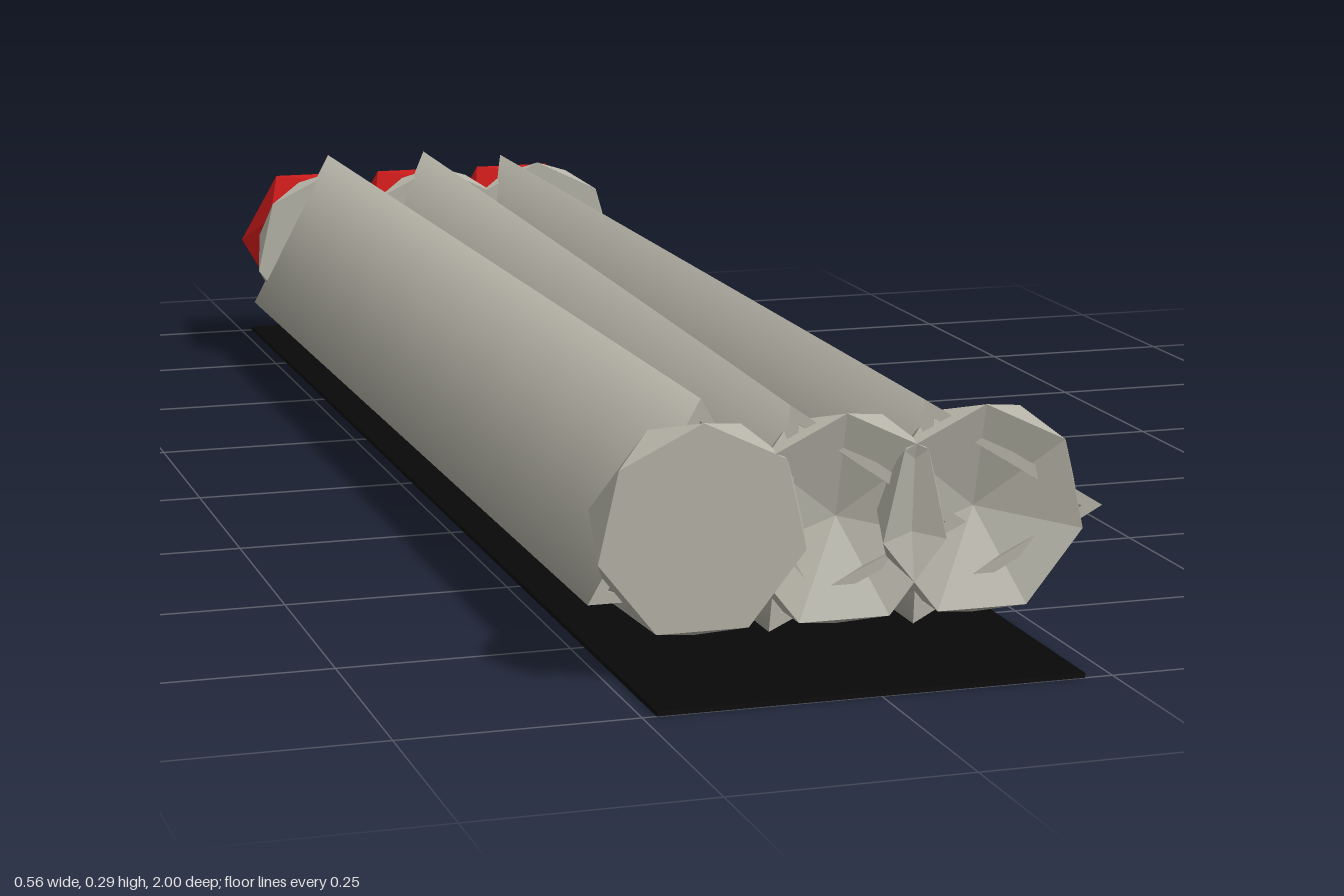
import * as THREE from 'three';

const grey = new THREE.MeshStandardMaterial({ color: 0xb4b2a6, side: THREE.DoubleSide });
const greyFlat = new THREE.MeshStandardMaterial({ color: 0xb4b2a6, side: THREE.DoubleSide, flatShading: true });
const red = new THREE.MeshStandardMaterial({ color: 0xd21c1c, side: THREE.DoubleSide, flatShading: true });
const black = new THREE.MeshStandardMaterial({ color: 0x080808, side: THREE.DoubleSide });
grey.name = 'warm grey';
greyFlat.name = 'warm grey faceted';
red.name = 'red';
black.name = 'black';

const rad = THREE.MathUtils.degToRad;

// Three-sided tube wall along z whose first edge turns from angle a0 (back) to a1 (front)
function twistedWall(radius, zBack, zFront, a0, a1) {
  const length = zFront - zBack;
  const g = new THREE.CylinderGeometry(radius, radius, length, 3, 8, true);
  g.rotateX(Math.PI / 2);
  const p = g.attributes.position, n = g.attributes.normal;
  const v = new THREE.Vector3(), axis = new THREE.Vector3(0, 0, 1);
  for (let i = 0; i < p.count; i++) {
    const t = p.getZ(i) / length + 0.5;
    const angle = rad(a0 + (a1 - a0) * t + 90);
    v.fromBufferAttribute(p, i).applyAxisAngle(axis, angle);
    p.setXYZ(i, v.x, v.y, v.z);
    v.fromBufferAttribute(n, i).applyAxisAngle(axis, angle);
    n.setXYZ(i, v.x, v.y, v.z);
  }
  g.translate(0, 0, (zBack + zFront) / 2);
  return g;
}

// Faceted drum along z whose front polygon is turned half a step against the back one
function facetedDrum(sides, rFront, rBack, zBack, zFront, turn = 0, dent = 0) {
  const g = new THREE.CylinderGeometry(rFront, rBack, zFront - zBack, sides);
  g.rotateX(Math.PI / 2);
  const p = g.attributes.position;
  const v = new THREE.Vector3(), axis = new THREE.Vector3(0, 0, 1);
  for (let i = 0; i < p.count; i++) {
    v.fromBufferAttribute(p, i);
    if (Math.hypot(v.x, v.y) < 1e-4) v.z -= dent;
    v.applyAxisAngle(axis, turn - (p.getZ(i) > 0 ? Math.PI / sides : 0));
    p.setXYZ(i, v.x, v.y, v.z);
  }
  g.translate(0, 0, (zBack + zFront) / 2);
  g.computeVertexNormals();
  return g;
}

export function createModel() {
  const model = new THREE.Group();
  const add = (parent, name, geometry, material) => {
    const mesh = new THREE.Mesh(geometry, material);
    mesh.name = name;
    parent.add(mesh);
    return mesh;
  };

  // Thin base plate
  add(model, 'basePlate', new THREE.BoxGeometry(0.455, 0.005, 2), black).position.set(-0.0075, 0.0025, 0);

  // Three tubes side by side, each with a front cap and a rear nozzle
  const tubes = [
    { name: 'rightTube', x: -0.155, back: 92, front: 90, dent: 0 },
    { name: 'middleTube', x: -0.003, back: 97, front: 115, dent: 0.03 },
    { name: 'leftTube', x: 0.148, back: 113, front: 118, dent: 0.03 },
  ];
  const zBack = -0.795, zFront = 0.89, outer = 0.136, inner = 0.113;

  for (const t of tubes) {
    const tube = new THREE.Group();
    tube.name = t.name;
    tube.position.set(t.x, 0.154, 0);
    model.add(tube);

    // Hollow three-sided wall with rims
    add(tube, 'outerWall', twistedWall(outer, zBack, zFront, t.back, t.front), grey);
    add(tube, 'innerWall', twistedWall(inner, zBack, zFront, t.back, t.front), grey);
    for (const [z, angle] of [[zBack, t.back], [zFront, t.front]]) {
      const rim = add(tube, 'wallRim', new THREE.RingGeometry(inner, outer, 3), grey);
      rim.position.z = z;
      rim.rotation.z = rad(angle);
    }

    // Seven-sided end caps
    add(tube, 'frontCap', facetedDrum(7, 0.113, 0.114, 0.87, 0.9, 0, t.dent), greyFlat);
    add(tube, 'backCap', facetedDrum(7, 0.113, 0.108, -0.8, -0.785), greyFlat);

    // Black collar and flared nozzle
    add(tube, 'collar', facetedDrum(6, 0.098, 0.098, -0.816, -0.8, Math.PI / 6), black);
    const nozzle = add(tube, 'nozzle', facetedDrum(6, 0.098, 0.106, -0.928, -0.82, Math.PI / 6), red);
    nozzle.position.y = -0.004;
  }
  return model;
}
